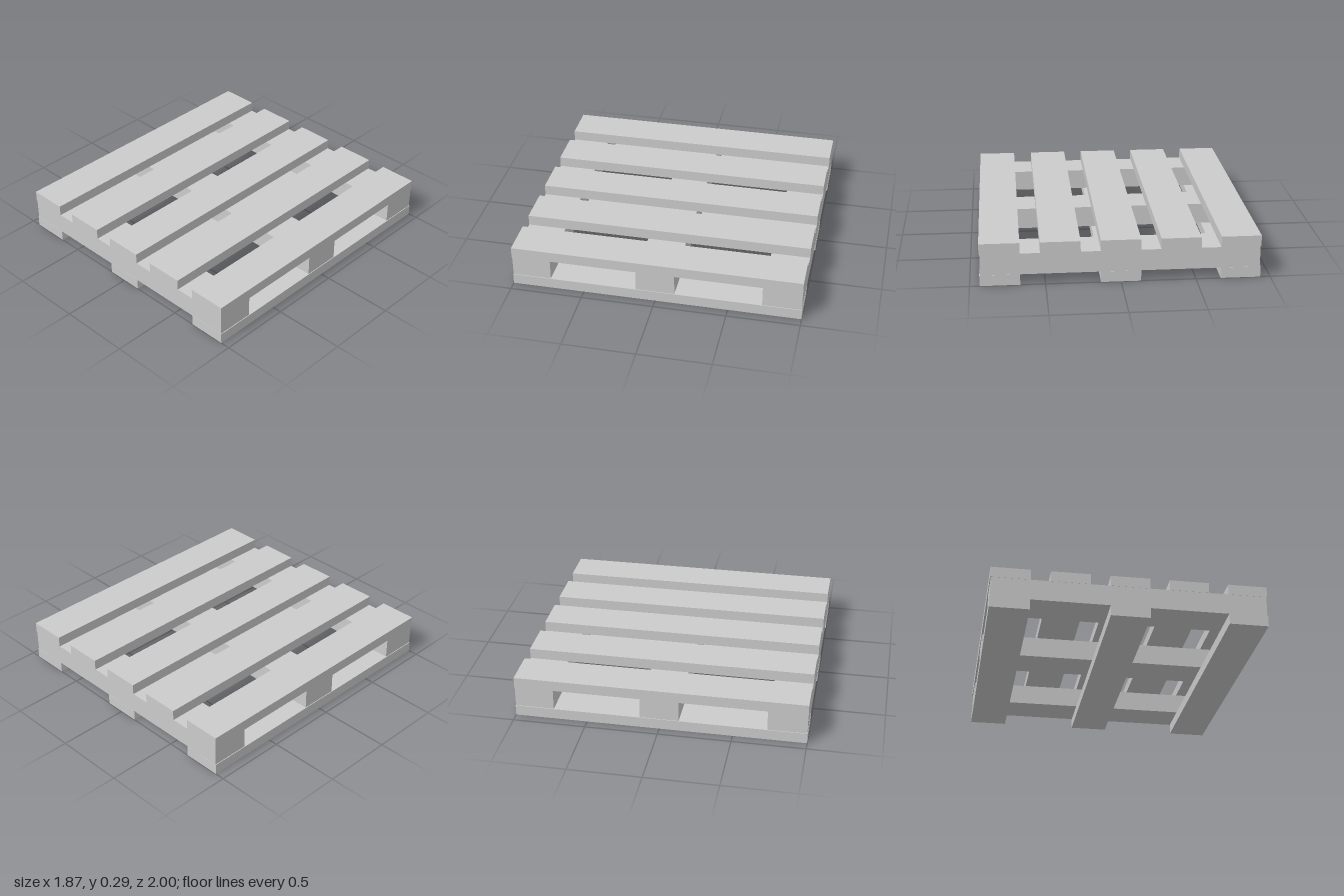
import * as THREE from 'three';

const BOARD_W = 0.267; // width of every plank
const BOARD_H = 0.074; // thickness of deck and base boards
const BEAM_H = 0.146; // height of the cross beams
const LENGTH = 2;
const BEAM_LENGTH = 1.857; // ends sit slightly inside the boards

export function createModel() {
  const model = new THREE.Group();
  model.name = 'pallet';
  const material = new THREE.MeshStandardMaterial({ color: 0xcccccc, flatShading: true });

  // A plank given by its size, with its underside at height y
  const addPlank = (name, w, h, d, x, y, z) => {
    const plank = new THREE.Mesh(new THREE.BoxGeometry(w, h, d), material);
    plank.name = name;
    plank.position.set(x, y + h / 2, z);
    model.add(plank);
  };

  // Three base boards running front to back
  for (const x of [-0.8, 0, 0.8]) {
    addPlank('baseBoard', BOARD_W, BOARD_H, LENGTH, x, 0, 0);
  }

  // Three cross beams running side to side
  for (const z of [-0.865, 0, 0.865]) {
    addPlank('crossBeam', BEAM_LENGTH, BEAM_H, BOARD_W, 0, BOARD_H, z);
  }

  // Five deck boards with even gaps
  for (let i = -2; i <= 2; i++) {
    addPlank('deckBoard', BOARD_W, BOARD_H, LENGTH, i * 0.4, BOARD_H + BEAM_H, 0);
  }

  return model;
}
